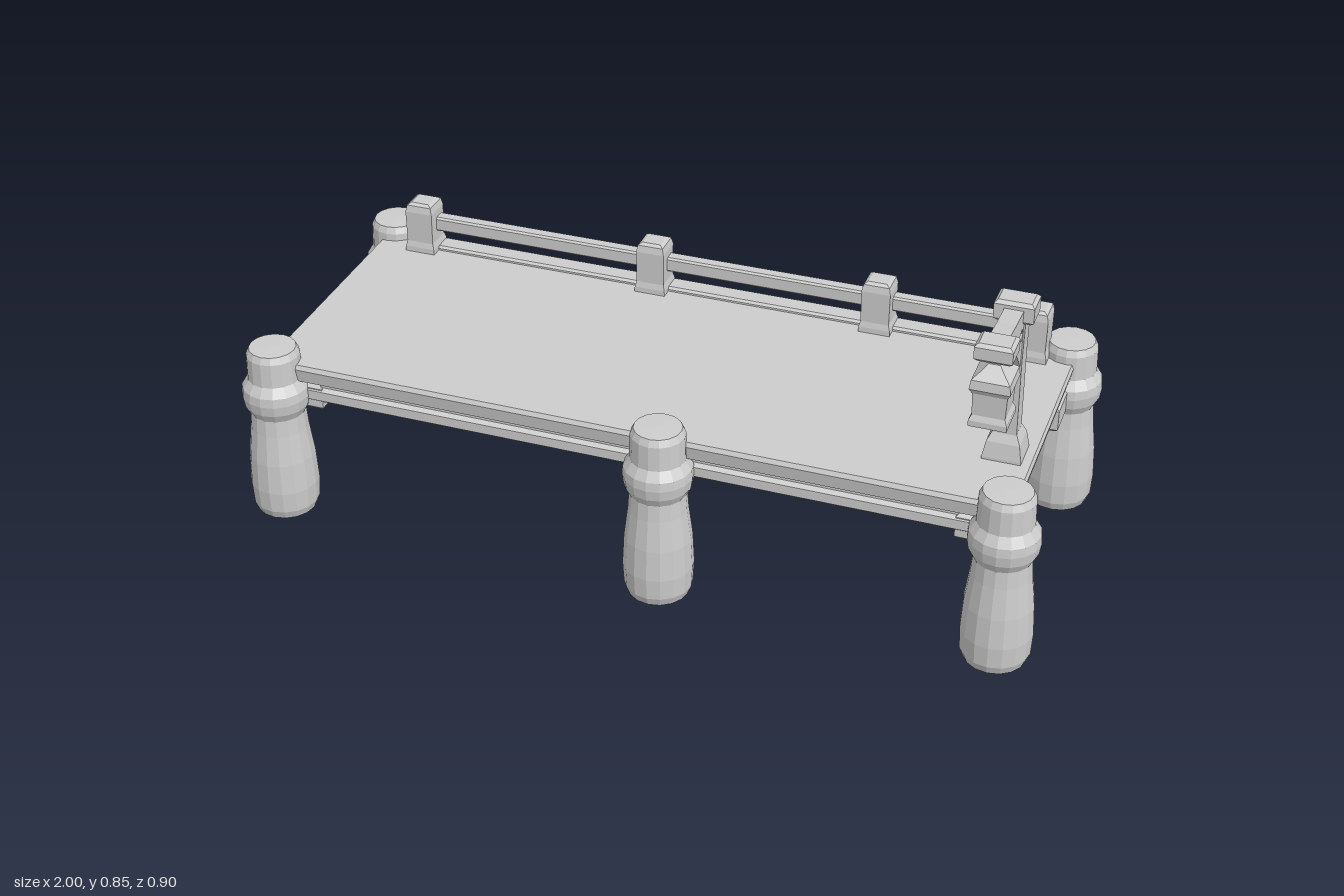
import * as THREE from 'three';

const stone = new THREE.MeshStandardMaterial({ color: 0xcccccc, flatShading: true });
stone.name = 'plain grey';

// Rectangular cross-sections stacked upwards: each layer is [y, halfX, halfZ]
function stack(layers) {
  const pos = [], idx = [];
  for (const [y, hx, hz] of layers) pos.push(-hx, y, hz, hx, y, hz, hx, y, -hz, -hx, y, -hz);
  for (let l = 0; l < layers.length - 1; l++) {
    for (let i = 0; i < 4; i++) {
      const a = l * 4 + i, b = l * 4 + (i + 1) % 4;
      idx.push(a, b, b + 4, a, b + 4, a + 4);
    }
  }
  const t = (layers.length - 1) * 4;
  idx.push(t, t + 1, t + 2, t, t + 2, t + 3, 0, 2, 1, 0, 3, 2);
  const g = new THREE.BufferGeometry();
  g.setAttribute('position', new THREE.Float32BufferAttribute(pos, 3));
  g.setIndex(idx);
  const flat = g.toNonIndexed();
  flat.computeVertexNormals();
  return flat;
}

// Box with bevelled top and bottom, spanning y0 to y1
const block = (hx, hz, y0, y1, c = 0.01) => stack([
  [y0, hx - c, hz - c], [y0 + c, hx, hz], [y1 - c, hx, hz], [y1, hx - c, hz - c],
]);

export function createModel() {
  const model = new THREE.Group();
  model.name = 'dock';
  const add = (parent, name, geometry, x = 0, y = 0, z = 0) => {
    const m = new THREE.Mesh(geometry, stone);
    m.name = name;
    m.position.set(x, y, z);
    parent.add(m);
    return m;
  };

  // Deck: overhanging top, shadow groove, lower beam
  add(model, 'deck', stack([
    [0.325, 0.89, 0.325], [0.335, 0.905, 0.337], [0.36, 0.905, 0.337], [0.367, 0.89, 0.325],
    [0.378, 0.89, 0.325], [0.39, 0.925, 0.35], [0.425, 0.932, 0.356], [0.436, 0.927, 0.35],
  ]), 0, 0, -0.003);
  add(model, 'kerb', block(0.85, 0.028, 0.425, 0.447, 0.006), 0, 0, -0.325);

  // Bulbous piles with collar and cap
  const pts = [
    [0, 0], [0.055, 0], [0.074, 0.012], [0.083, 0.035], [0.086, 0.09], [0.082, 0.17], [0.072, 0.25],
    [0.069, 0.295], [0.081, 0.318], [0.085, 0.345], [0.083, 0.368], [0.068, 0.392], [0.066, 0.455],
    [0.058, 0.472], [0, 0.474],
  ].map(([r, y]) => new THREE.Vector2(r, y));
  const pile = new THREE.LatheGeometry(pts, 16);
  const corners = [[-0.915, 0.34], [-0.915, -0.365], [0.912, 0.34], [0.912, -0.352]];
  for (const [x, z] of corners) {
    add(model, 'cornerPile', pile, x, 0, z);
    add(model, 'cornerBracket', block(0.065, 0.075, 0.302, 0.375),
      Math.sign(x) * 0.86, 0, Math.sign(z) * 0.255);
  }
  add(model, 'frontMiddlePile', pile, 0.092, 0, 0.36);
  add(model, 'frontMiddleBracket', block(0.07, 0.06, 0.302, 0.375), 0.092, 0, 0.28);

  // Rear middle pile stops under the deck
  const shortPile = new THREE.LatheGeometry([...pts.slice(0, 10), new THREE.Vector2(0, 0.345)], 16);
  add(model, 'rearMiddlePile', shortPile, 0.092, 0, -0.242);

  // Back railing
  for (const x of [-0.803, -0.16, 0.433, 0.826]) {
    add(model, 'railPost', stack([
      [0.42, 0.041, 0.041], [0.45, 0.04, 0.04], [0.465, 0.036, 0.036],
      [0.55, 0.037, 0.037], [0.568, 0.033, 0.033], [0.574, 0.024, 0.024],
    ]), x, 0, -0.308);
  }
  add(model, 'rail', block(0.815, 0.018, 0.49, 0.53, 0.005), 0.011, 0, -0.318);

  // Lamp post
  const lamp = new THREE.Group();
  lamp.name = 'lampPost';
  lamp.position.set(0.86, 0, 0);
  model.add(lamp);
  add(lamp, 'lampBase', stack([
    [0.42, 0.046, 0.044], [0.442, 0.046, 0.044], [0.482, 0.039, 0.037], [0.505, 0.028, 0.026],
  ]), 0, 0, 0.139);
  add(lamp, 'lampShaft', stack([[0.49, 0.028, 0.026], [0.7, 0.025, 0.025], [0.82, 0.026, 0.024]]), 0, 0, 0.14);
  add(lamp, 'lampCap', block(0.046, 0.033, 0.8, 0.853, 0.008), 0, 0, 0.146);

  // Arm and curved brace with a small opening, drawn in the z-y plane
  const arm = new THREE.Shape();
  arm.moveTo(0.15, 0.69);
  arm.lineTo(0.17, 0.69);
  arm.lineTo(0.21, 0.735);
  arm.quadraticCurveTo(0.255, 0.78, 0.3, 0.803);
  arm.lineTo(0.36, 0.81);
  arm.lineTo(0.36, 0.848);
  arm.quadraticCurveTo(0.3, 0.85, 0.25, 0.841);
  arm.lineTo(0.15, 0.835);
  const hole = new THREE.Path();
  hole.moveTo(0.17, 0.775);
  hole.lineTo(0.18, 0.791);
  hole.lineTo(0.207, 0.782);
  hole.lineTo(0.178, 0.759);
  arm.holes.push(hole);
  const armGeo = new THREE.ExtrudeGeometry(arm, { depth: 0.044, bevelEnabled: false, curveSegments: 5 });
  armGeo.rotateY(-Math.PI / 2);
  add(lamp, 'lampArm', armGeo, 0.022);
  add(lamp, 'armEnd', block(0.043, 0.034, 0.807, 0.852, 0.008), 0, 0, 0.341);

  // Hanging lantern
  add(lamp, 'lantern', stack([
    [0.636, 0.02, 0.02], [0.648, 0.043, 0.045], [0.662, 0.043, 0.045], [0.675, 0.037, 0.039],
    [0.73, 0.039, 0.041], [0.743, 0.046, 0.048], [0.765, 0.043, 0.045], [0.783, 0.024, 0.026],
    [0.795, 0.013, 0.014], [0.815, 0.011, 0.011],
  ]), 0, 0, 0.337);

  return model;
}
